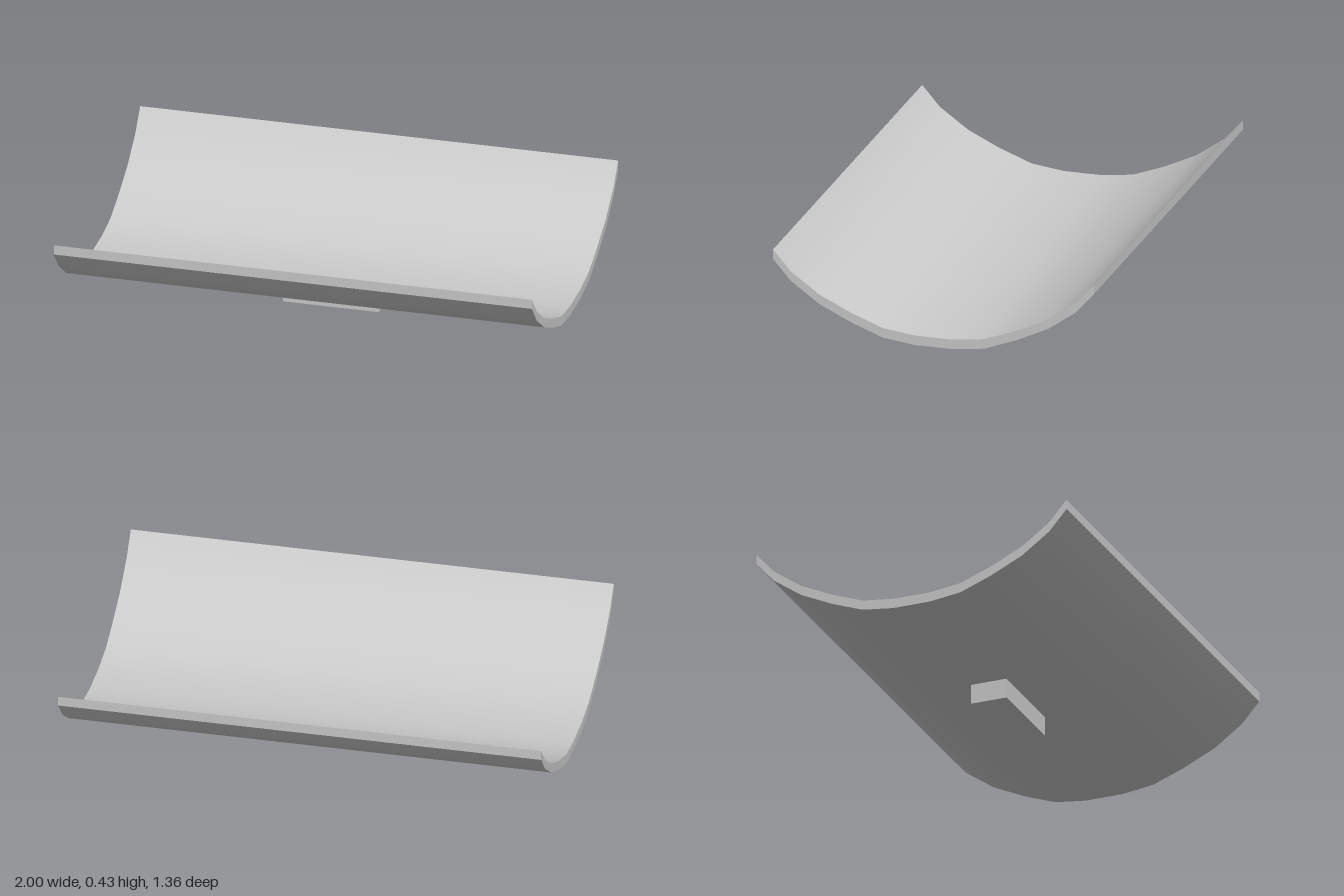
import * as THREE from 'three';
import { toCreasedNormals } from 'three/addons/utils/BufferGeometryUtils.js';

const material = new THREE.MeshStandardMaterial({ color: 0xcccccc });
const LENGTH = 2;
const THICKNESS = 0.041;

// Half of the trough's upper curve, as [z, y] from the middle to the rim
const halfCurve = [
  [0.08, 0.125], [0.215, 0.142], [0.35, 0.193],
  [0.485, 0.257], [0.605, 0.343], [0.68, 0.429],
];

function createTrough() {
  // Mirror the curve, then return along the same curve lowered by the thickness
  const upper = [...halfCurve.map(([z, y]) => [-z, y]).reverse(), ...halfCurve];
  const lower = upper.map(([z, y]) => [z, y - THICKNESS]).reverse();
  const outline = [...upper, ...lower].map(([z, y]) => new THREE.Vector2(z, y));

  const geometry = new THREE.ExtrudeGeometry(new THREE.Shape(outline), {
    depth: LENGTH, bevelEnabled: false,
  });
  geometry.translate(0, 0, -LENGTH / 2);
  geometry.rotateY(Math.PI / 2);

  // Smooth along the curve, sharp at the rims and ends
  const mesh = new THREE.Mesh(toCreasedNormals(geometry, 0.5), material);
  mesh.name = 'curvedTrough';
  return mesh;
}

function createFoot() {
  const height = halfCurve[0][1] - THICKNESS;
  const mesh = new THREE.Mesh(new THREE.BoxGeometry(0.4, height, 0.156), material);
  mesh.position.y = height / 2;
  mesh.name = 'foot';
  return mesh;
}

export function createModel() {
  const model = new THREE.Group();
  model.name = 'curvedTray';
  model.add(createTrough(), createFoot());
  return model;
}
